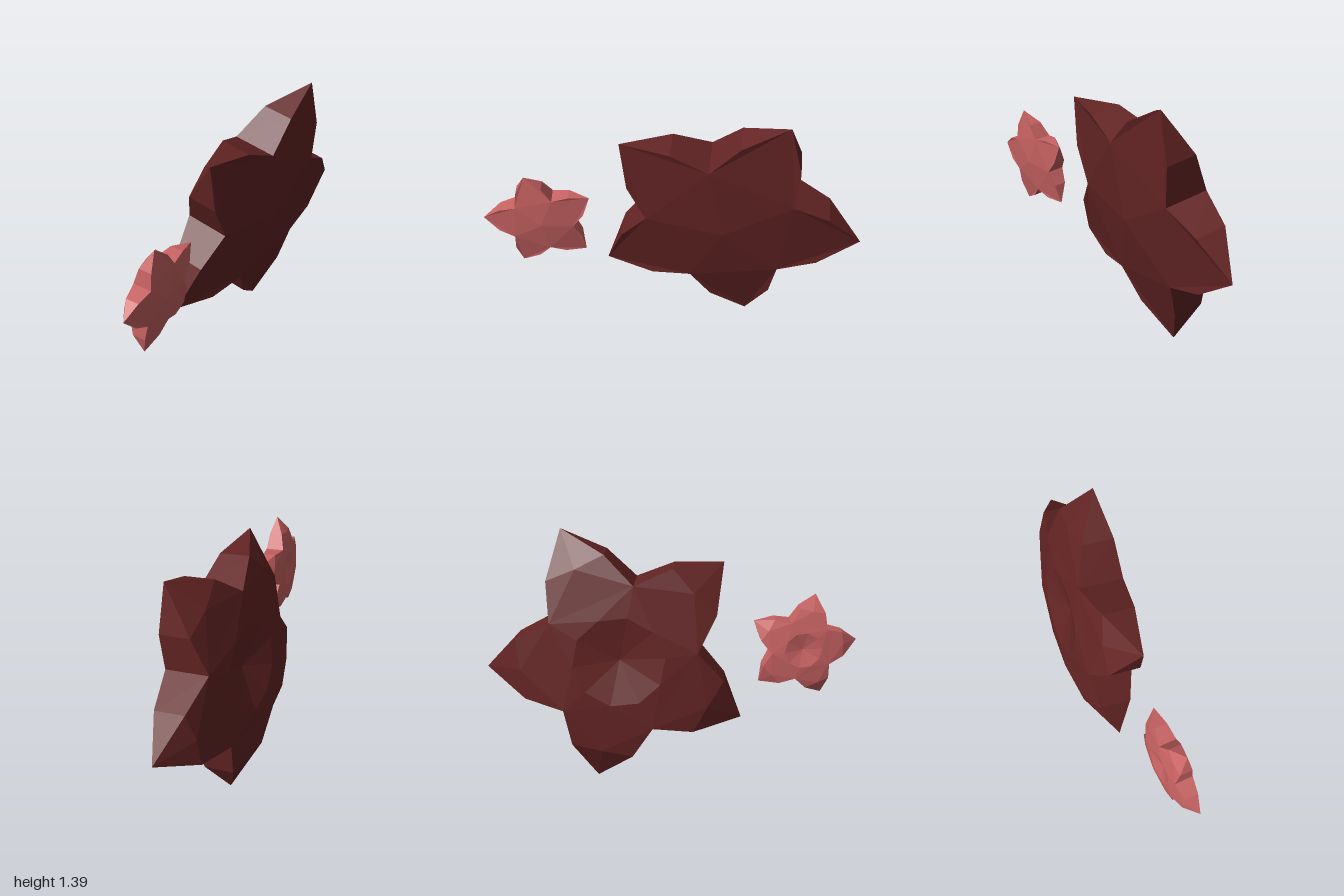
import * as THREE from 'three';

const polar = (r, deg, z) => {
  const a = THREE.MathUtils.degToRad(deg);
  return [r * Math.cos(a), r * Math.sin(a), z];
};

// Faceted geometry from corner loops (each loop is split as a fan)
function facets(loops) {
  const pos = [];
  for (const p of loops) {
    for (let i = 1; i < p.length - 1; i++) pos.push(...p[0], ...p[i], ...p[i + 1]);
  }
  const g = new THREE.BufferGeometry();
  g.setAttribute('position', new THREE.Float32BufferAttribute(pos, 3));
  g.computeVertexNormals();
  return g;
}

const flip = (loop) => [...loop].reverse();
const valleyFront = (deg) => polar(0.42, deg, 0.075);
const valleyBack = (deg) => polar(0.42, deg, -0.17);

// One arm pointing along +x, front towards +z
function armGeometry() {
  const tip = [0.75, 0, 0];
  const ridge = [0.54, 0, -0.138];
  const loops = [[valleyFront(-36), tip, valleyFront(36)]];
  loops.push(flip([valleyBack(-36), ridge, valleyBack(36)]));
  for (const s of [-1, 1]) {
    const vf = valleyFront(36 * s), vb = valleyBack(36 * s);
    const mf = [0.545, 0.17 * s, 0.05], mb = [0.545, 0.17 * s, -0.122];
    const half = [
      [vf, mf, tip],                 // front bevel
      [vf, vb, mb, mf],              // side wall
      [mf, mb, tip],                 // side wall at the tip
      flip([vb, mb, ridge]),         // back
      flip([mb, tip, ridge]),
    ];
    loops.push(...(s < 0 ? half : half.map(flip)));
  }
  return facets(loops);
}

// Slightly domed front of the body
function frontGeometry() {
  const loops = [];
  for (let k = 0; k < 5; k++) {
    const a = 36 + 72 * k;
    loops.push([[0, 0, 0.11], valleyFront(a), valleyFront(a + 72)]);
  }
  return facets(loops);
}

// Back of the body with a raised rim around a central dimple
function backGeometry() {
  const rim = (deg) => polar(0.25, deg, -0.188);
  const loops = [];
  for (let k = 0; k < 5; k++) {
    const a = 36 + 72 * k;
    const v0 = valleyBack(a), v1 = valleyBack(a + 72);
    loops.push(
      flip([v0, v1, rim(a + 36)]),
      flip([v0, rim(a + 36), rim(a)]),
      flip([v1, rim(a + 72), rim(a + 36)]),
      flip([[0, 0, -0.13], rim(a), rim(a + 36)]),
      flip([[0, 0, -0.13], rim(a + 36), rim(a + 72)]),
    );
  }
  return facets(loops);
}

function makeStarfish(name, material, center, normal, spin, scale) {
  const star = new THREE.Group();
  star.name = name;
  const body = new THREE.Group();
  body.name = 'body';
  body.rotation.z = THREE.MathUtils.degToRad(spin);
  const add = (geometry, partName) => {
    const mesh = new THREE.Mesh(geometry, material);
    mesh.name = partName;
    body.add(mesh);
    return mesh;
  };
  add(frontGeometry(), 'bodyFront');
  add(backGeometry(), 'bodyBack');
  const arm = armGeometry();
  for (let k = 0; k < 5; k++) add(arm, 'arm' + (k + 1)).rotation.z = (k * 2 * Math.PI) / 5;
  star.add(body);
  star.position.set(...center);
  star.scale.setScalar(scale);
  // Lean the star so that its front faces along the given normal
  star.quaternion.setFromUnitVectors(
    new THREE.Vector3(0, 0, 1), new THREE.Vector3(...normal).normalize());
  return star;
}

export function createModel() {
  const darkRed = new THREE.MeshStandardMaterial({ color: 0x642424, flatShading: true });
  darkRed.name = 'darkRed';
  const coral = new THREE.MeshStandardMaterial({ color: 0xc86262, flatShading: true });
  coral.name = 'coral';

  const model = new THREE.Group();
  model.name = 'starfishPair';
  model.add(
    makeStarfish('largeStarfish', darkRed, [0.256, 0.736, -0.03], [0.127, -0.176, 1], -8, 1),
    makeStarfish('smallStarfish', coral, [-0.702, 0.742, 0.207], [0.25, -0.09, 1], 30, 0.412),
  );
  return model;
}
